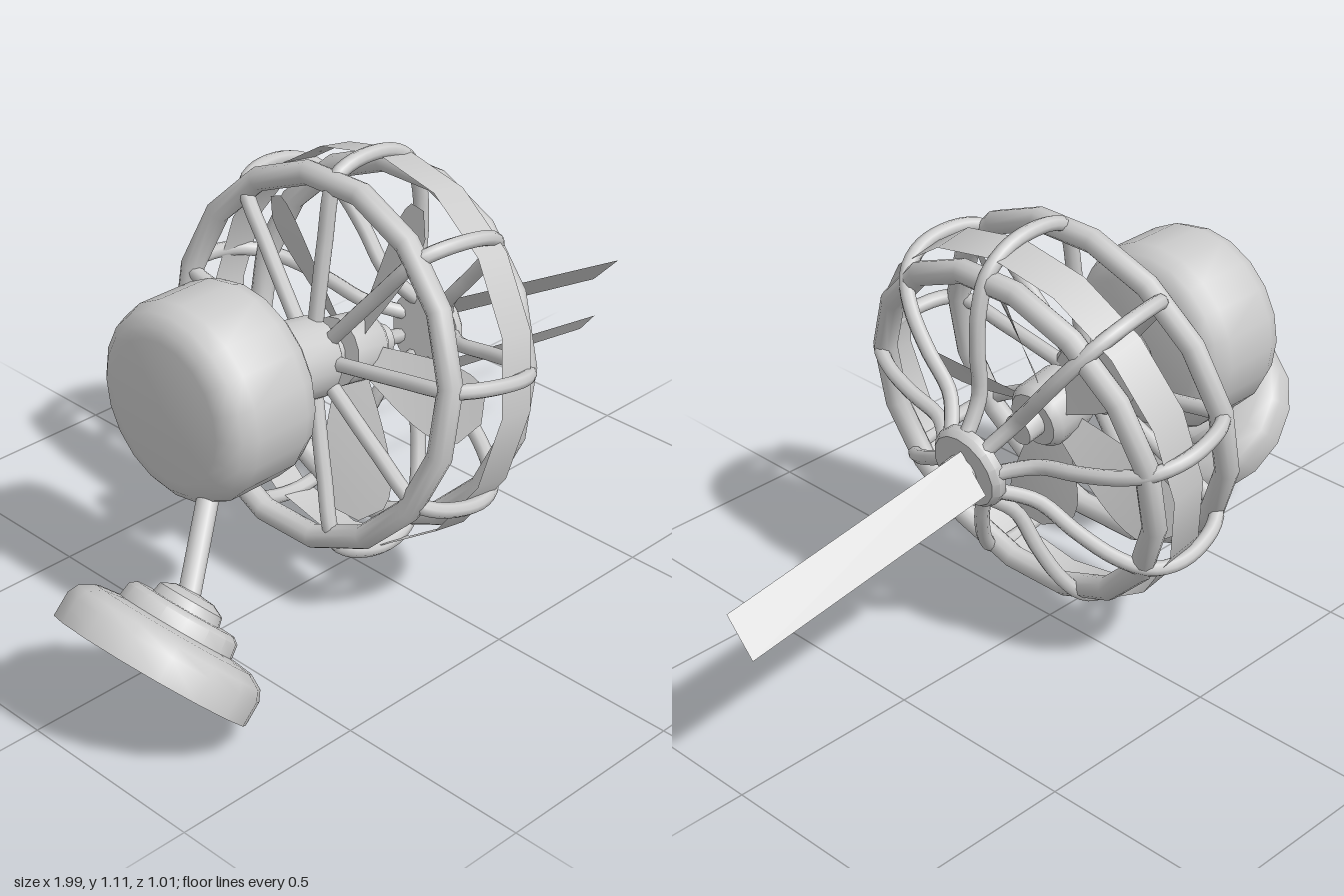
import * as THREE from 'three';
import { toCreasedNormals } from 'three/addons/utils/BufferGeometryUtils.js';

const grey = new THREE.MeshStandardMaterial({ color: 0xcccccc });
const thin = new THREE.MeshStandardMaterial({ color: 0xcccccc, side: THREE.DoubleSide });

function add(parent, name, geometry, material = grey) {
  const mesh = new THREE.Mesh(geometry, material);
  mesh.name = name;
  parent.add(mesh);
  return mesh;
}

// Solid of revolution around +y; profile is [radius, height] from bottom to top
function lathe(profile, sides = 16) {
  const points = profile.map(([r, h]) => new THREE.Vector2(r, h));
  return toCreasedNormals(new THREE.LatheGeometry(points, sides), 0.75);
}

// The same, turned so that its axis runs along +x
const latheX = (profile, sides) => lathe(profile, sides).rotateZ(-Math.PI / 2);

// Fan blade pointing along +y, pitched about its length
function bladeGeometry() {
  const geometry = new THREE.PlaneGeometry(1, 1, 6, 12);
  const p = geometry.attributes.position;
  for (let i = 0; i < p.count; i++) {
    const u = p.getX(i), v = p.getY(i) + 0.5;
    const width = (0.07 + 0.125 * Math.sin(v * Math.PI / 2)) * Math.sqrt(Math.max(0, 1 - v ** 7));
    const pitch = 0.65 - 0.2 * v;
    p.setXYZ(i, -u * width * Math.sin(pitch), 0.06 + 0.37 * v, u * width * Math.cos(pitch));
  }
  geometry.computeVertexNormals();
  return geometry;
}

// Flat strip between a start edge and an end edge
function ribbonGeometry(startTop, startLow, endTop, endLow) {
  const geometry = new THREE.BufferGeometry();
  const corners = [...startTop, ...startLow, ...endTop, ...endLow];
  geometry.setAttribute('position', new THREE.Float32BufferAttribute(corners, 3));
  geometry.setIndex([0, 1, 3, 0, 3, 2]);
  geometry.computeVertexNormals();
  return geometry;
}

export function createModel() {
  const model = new THREE.Group();
  model.name = 'deskFan';

  // Stepped base, tilted 45 degrees
  const base = add(model, 'base', lathe([
    [0, 0], [0.247, 0], [0.247, 0.06], [0.235, 0.085], [0.2, 0.105], [0.145, 0.112],
    [0.14, 0.145], [0.125, 0.157], [0.085, 0.157], [0.08, 0.18], [0.05, 0.195], [0, 0.2],
  ]));
  base.position.set(-0.823, 0.175, 0.195);
  base.rotation.z = -Math.PI / 4;

  // Arm from the base up into the motor
  const arm = new THREE.LineCurve3(
    new THREE.Vector3(-0.715, 0.29, 0.2), new THREE.Vector3(-0.47, 0.53, 0.04));
  add(model, 'arm', new THREE.TubeGeometry(arm, 1, 0.026, 10));

  // Rounded motor housing and its neck
  const motor = add(model, 'motorHousing', latheX([
    [0, -0.14], [0.175, -0.14], [0.205, -0.133], [0.23, -0.112], [0.245, -0.075],
    [0.245, 0.075], [0.23, 0.112], [0.205, 0.133], [0.175, 0.14], [0, 0.14],
  ], 20));
  motor.position.set(-0.443, 0.655, -0.01);
  const neck = add(model, 'motorNeck', new THREE.CylinderGeometry(0.045, 0.045, 0.1, 14));
  neck.position.set(-0.28, 0.64, 0);
  neck.rotation.z = -Math.PI / 2;

  // Fan head: its local +x is the fan axis, tipped slightly down
  const head = new THREE.Group();
  head.name = 'fanHead';
  head.position.set(0, 0.6, 0);
  head.rotation.z = -0.183;
  model.add(head);

  add(head, 'rearHub', latheX([
    [0, -0.275], [0.09, -0.275], [0.1, -0.265], [0.1, -0.13], [0.09, -0.12], [0, -0.12]]));
  add(head, 'bladeHub', latheX([
    [0, -0.12], [0.04, -0.12], [0.04, -0.06], [0.085, -0.06], [0.085, 0.04], [0.07, 0.06],
    [0.04, 0.06], [0.04, 0.11], [0, 0.11]]));
  add(head, 'frontHub', latheX([
    [0, 0.26], [0.107, 0.26], [0.107, 0.28], [0.095, 0.295], [0.045, 0.295],
    [0.045, 0.33], [0, 0.33]]));

  // Five blades
  const blade = bladeGeometry();
  for (let i = 0; i < 5; i++) {
    add(head, 'blade', blade, thin).rotation.x = 0.39 + i * Math.PI * 2 / 5;
  }

  // Cage rings and the flat band between them
  for (const [name, s] of [['rearRing', -0.135], ['frontRing', 0.12]]) {
    const ring = add(head, name, new THREE.TorusGeometry(0.44, 0.03, 10, 16));
    ring.rotation.set(Math.PI / 16, Math.PI / 2, 0, 'XYZ');
    ring.position.x = s;
  }
  const band = add(head, 'cageBand',
    new THREE.CylinderGeometry(0.485, 0.485, 0.1, 16, 1, true), thin);
  band.rotation.z = -Math.PI / 2;
  band.position.x = 0.05;

  // Nine cage wires running from rear hub over the rim to the front hub
  const wirePath = new THREE.CatmullRomCurve3([
    [-0.135, 0.08], [-0.14, 0.28], [-0.135, 0.44], [-0.095, 0.472], [0, 0.492], [0.07, 0.483],
    [0.125, 0.45], [0.165, 0.38], [0.19, 0.28], [0.205, 0.17], [0.245, 0.11], [0.275, 0.08],
  ].map(([s, r]) => new THREE.Vector3(s, r, 0)), false, 'centripetal');
  const wire = new THREE.TubeGeometry(wirePath, 44, 0.019, 8);
  for (let i = 0; i < 9; i++) {
    add(head, 'cageWire', wire).rotation.x = i * Math.PI * 2 / 9;
  }

  // Two streamers blowing forward from the front hub
  add(model, 'longStreamer', ribbonGeometry(
    [0.3, 0.607, -0.005], [0.3, 0.52, -0.085], [0.995, 0.485, 0.01], [0.995, 0.4, -0.07]), thin);
  add(model, 'shortStreamer', ribbonGeometry(
    [0.28, 0.495, 0.083], [0.28, 0.44, 0.045], [0.835, 0.4, 0.068], [0.825, 0.35, 0.03]), thin);

  return model;
}
